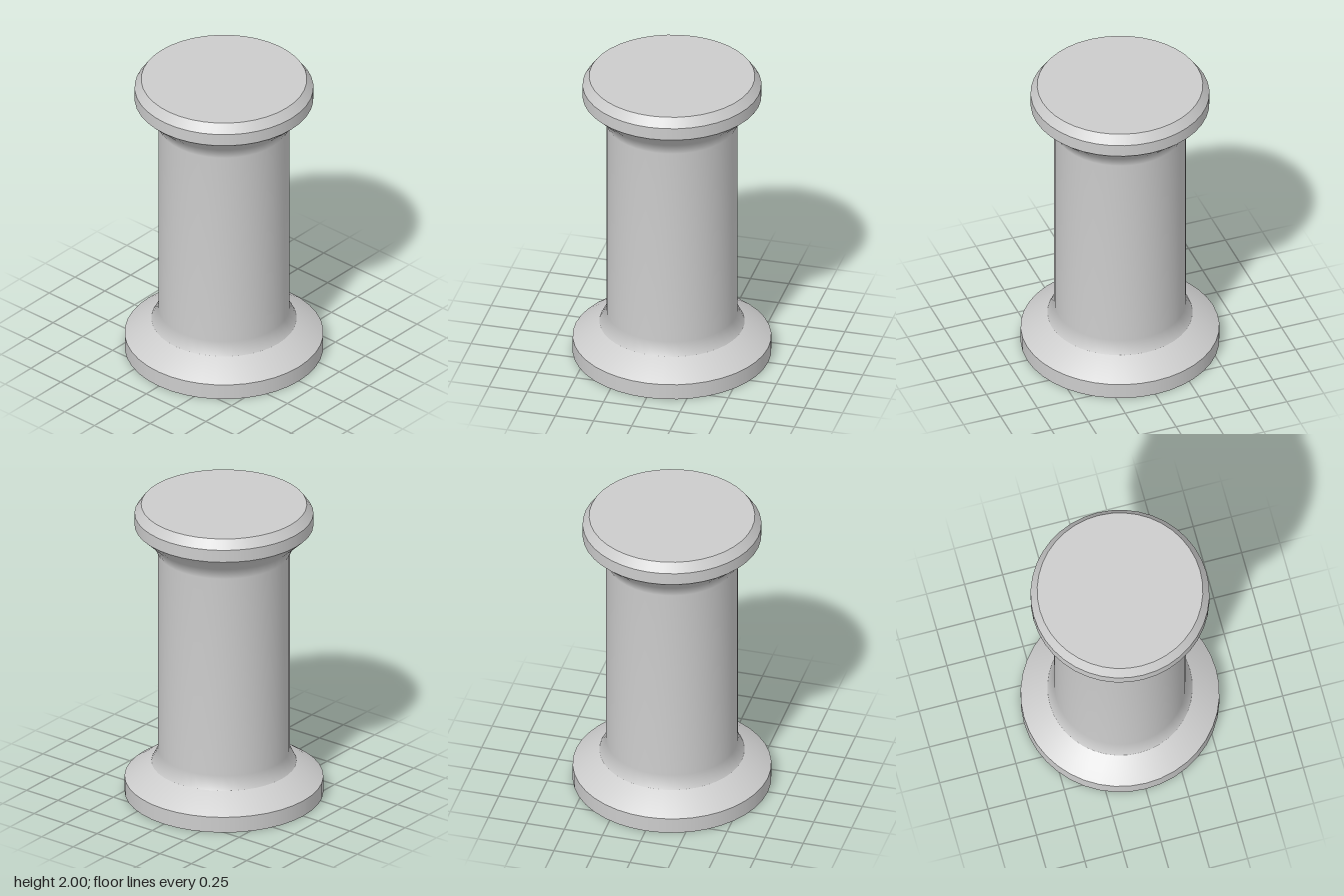
import * as THREE from 'three';

const SEGMENTS = 40;

export function createModel() {
  const model = new THREE.Group();
  model.name = 'column';
  const stone = new THREE.MeshStandardMaterial({ color: 0xcccccc });
  stone.name = 'light grey';

  // Each profile of [radius, height] is one smooth run; edges between runs stay sharp
  const turned = (name, runs) => {
    const part = new THREE.Group();
    part.name = name;
    runs.forEach(([label, profile]) => {
      const points = profile.map(([r, y]) => new THREE.Vector2(r, y));
      const mesh = new THREE.Mesh(new THREE.LatheGeometry(points, SEGMENTS), stone);
      mesh.name = label;
      part.add(mesh);
    });
    model.add(part);
  };

  // Wide foot with a sloping shoulder
  turned('base', [
    ['baseUnderside', [[0, 0], [0.63, 0]]],
    ['baseRim', [[0.63, 0], [0.63, 0.106]]],
    ['baseShoulder', [[0.63, 0.106], [0.545, 0.165], [0.46, 0.212]]],
  ]);

  // Straight shaft flaring at both ends
  turned('shaft', [
    ['shaftSurface', [[0.46, 0.212], [0.417, 0.297], [0.417, 1.671], [0.46, 1.756], [0.567, 1.857]]],
  ]);

  // Chamfered cap
  turned('cap', [
    ['capRim', [[0.567, 1.857], [0.567, 1.94]]],
    ['capChamfer', [[0.567, 1.94], [0.525, 2]]],
    ['capTop', [[0.525, 2], [0, 2]]],
  ]);

  return model;
}
